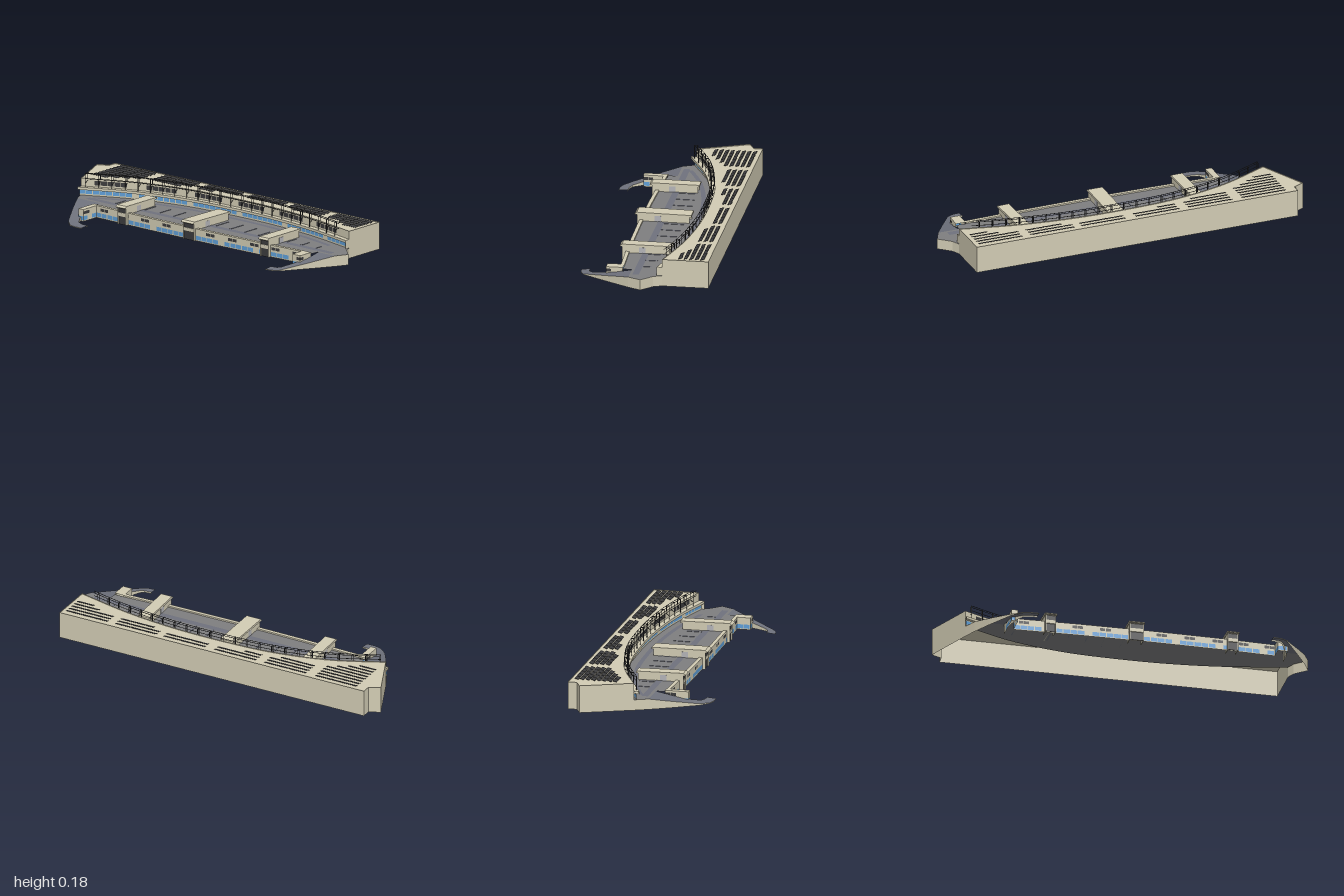
import * as THREE from 'three';
import { mergeGeometries } from 'three/addons/utils/BufferGeometryUtils.js';

const mat = (color) => new THREE.MeshStandardMaterial({ color, side: THREE.DoubleSide });
const DECK = 0.058, ROOF = 0.145, TOP = 0.15;

export function createModel() {
  const group = new THREE.Group();
  const beige = mat(0xd2ccb4), grey = mat(0x7f7f80), lane = mat(0x6f727d);
  const blue = mat(0x5f9fd8), dark = mat(0x3b3b3d), door = mat(0xb4b4b8);

  const add = (name, geo, material) => {
    const mesh = new THREE.Mesh(geo, material);
    mesh.name = name;
    group.add(mesh);
    return mesh;
  };
  // Flat-shaded quads, each given by four corners
  const quads = (list) => {
    const geo = new THREE.BufferGeometry();
    const pos = list.flatMap(([a, b, c, d]) => [a, b, c, a, c, d].flat());
    geo.setAttribute('position', new THREE.Float32BufferAttribute(pos, 3));
    geo.computeVertexNormals();
    return geo;
  };
  const upright = ([x0, z0], [x1, z1], y0, y1) => [[x0, y0, z0], [x1, y0, z1], [x1, y1, z1], [x0, y1, z0]];
  const pairs = (pts) => pts.slice(1).map((p, i) => [pts[i], p]);
  const wall = (name, pts, y0, y1, m = beige) => add(name, quads(pairs(pts).map(([a, b]) => upright(a, b, y0, y1))), m);
  const slab = (name, pts, y, m) => {
    const geo = new THREE.ShapeGeometry(new THREE.Shape(pts.map(([x, z]) => new THREE.Vector2(x, -z))));
    return add(name, geo.rotateX(-Math.PI / 2).translate(0, y, 0), m);
  };
  const ribbon = (name, a, b, y, m) => add(name, quads(pairs(a).map(([p, q], i) =>
    [[p[0], y, p[1]], [b[i][0], y, b[i][1]], [b[i + 1][0], y, b[i + 1][1]], [q[0], y, q[1]]])), m);
  // Wall band cut into panes; isGlass(i) picks glazed panes
  const windowBand = (name, pts, y0, y1, pane, isGlass, glass) => {
    const open = [], solid = [];
    let i = 0;
    for (const [a, b] of pairs(pts)) {
      const n = Math.max(1, Math.round(Math.hypot(b[0] - a[0], b[1] - a[1]) / pane));
      const at = (t) => [a[0] + (b[0] - a[0]) * t, a[1] + (b[1] - a[1]) * t];
      for (let k = 0; k < n; k++, i++) {
        const m = at((k + 0.9) / n);
        (isGlass(i) ? open : solid).push(upright(at(k / n), m, y0, y1));
        solid.push(upright(m, at((k + 1) / n), y0, y1));
      }
    }
    add(name + 'Glass', quads(open), glass);
    add(name + 'Piers', quads(solid), beige);
  };
  const box = (x0, x1, y0, y1, z0, z1) => new THREE.BoxGeometry(x1 - x0, y1 - y0, z1 - z0)
    .translate((x0 + x1) / 2, (y0 + y1) / 2, (z0 + z1) / 2);

  // Curved front of the tall rear block
  const arcCurve = new THREE.CatmullRomCurve3([[-0.88, -0.01], [-0.6, -0.135], [-0.3, -0.205], [0, -0.225],
    [0.3, -0.22], [0.6, -0.185], [0.915, -0.115]].map(([x, z]) => new THREE.Vector3(x, 0, z)));
  const arc = arcCurve.getSpacedPoints(50).map((p) => [p.x, p.z]);
  const shift = (dz) => arc.map(([x, z]) => [x, z + dz]);

  // Rear block: plain outer walls, roof, glazed curved front
  const outer = [arc[50], [0.915, -0.365], [-0.94, -0.36], [-0.94, -0.31], [-1, -0.28], arc[0]];
  wall('rearBlockWall', outer, 0, TOP);
  slab('rearBlockRoof', [...arc, ...outer.slice(1, -1)], ROOF, beige);
  wall('upperWallSill', arc, 0.105, 0.114);
  windowBand('upperWindow', arc, 0.114, 0.138, 0.037, (i) => i % 8 > 1 && i % 8 < 7, dark);
  wall('upperWallHead', arc, 0.138, TOP);
  const glassLine = shift(0.012);
  wall('deckLevelSill', glassLine, DECK, 0.066);
  windowBand('deckLevelWindow', glassLine, 0.066, 0.086, 0.037, (i) => i % 9 !== 8, blue);
  wall('deckLevelHead', glassLine, 0.086, 0.092);
  const eave = shift(0.03);
  ribbon('canopyTop', arc, eave, 0.105, beige);
  ribbon('canopySoffit', arc, eave, 0.091, beige);
  wall('canopyEdge', eave, 0.091, 0.105);
  wall('canopyEnd', [arc[50], eave[50]], DECK, 0.105);

  // Parking deck with lane and bay markings
  const frontEdge = [[-0.65, 0.112], [-0.3, 0.122], [0.1, 0.126], [0.5, 0.12], [0.785, 0.108]];
  slab('parkingDeck', [...arc, [0.935, -0.07], [1, -0.01], [0.965, 0.06], [0.845, 0.06], [0.84, 0.11],
    ...[...frontEdge].reverse(), [-0.685, 0.11], [-0.685, 0.06], [-0.846, 0.06]], DECK, grey);
  ribbon('frontLane', [[-0.8, 0.01], [0.92, 0.01]], [[-0.8, 0.045], [0.92, 0.045]], DECK + 0.001, lane);
  ribbon('curvedLane', shift(0.05).slice(3, 48), shift(0.075).slice(3, 48), DECK + 0.0015, lane);
  const bays = [];
  for (let x = -0.62; x < 0.8; x += 0.1) bays.push(box(x, x + 0.008, DECK, DECK + 0.002, -0.1 + 0.1 * x * x, 0.01));
  add('bayMarkings', mergeGeometries(bays), lane);

  // Lower shop front below the deck, with a short wing at each end
  const front = [[-0.685, 0.11], [-0.685, 0.24], [-0.65, 0.24], ...frontEdge.map(([x, z]) => [x, z + 0.02]),
    [0.785, 0.2], [0.84, 0.2], [0.84, 0.11]];
  wall('shopPlinth', front, 0, 0.006);
  windowBand('shopWindow', front, 0.006, 0.028, 0.04, (i) => i % 6 !== 5, blue);
  wall('shopBand', front, 0.028, 0.039);
  windowBand('shopUpperWindow', front, 0.039, 0.055, 0.03, (i) => i % 5 < 2, dark);
  wall('shopParapet', front, 0.055, 0.066);
  slab('shopParapetCap', [...front, ...[...frontEdge].reverse()], 0.066, beige);
  wall('shopParapetInside', frontEdge, DECK, 0.066);

  // Ramps: flat near the deck, then sloping to the ground
  const rampY = (z) => THREE.MathUtils.clamp(0.004 + (0.33 - z) * 0.2, 0.004, DECK);
  const lift = ([x, z]) => [x, rampY(z), z];
  const ramp = (name, out, inn) => {
    add(name, quads(pairs(out).map(([a, b], i) => [lift(a), lift(inn[i]), lift(inn[i + 1]), lift(b)])), lane);
    for (const side of [out, inn]) {
      add(name + 'SideWall', quads(pairs(side).map(([a, b]) =>
        [[a[0], 0, a[1]], [b[0], 0, b[1]], lift(b), lift(a)])), beige);
    }
  };
  ramp('rightRamp', [[-0.846, 0.06], [-0.79, 0.16], [-0.7, 0.305], [-0.65, 0.35], [-0.61, 0.36], [-0.56, 0.36]],
    [[-0.685, 0.06], [-0.685, 0.16], [-0.665, 0.25], [-0.635, 0.295], [-0.6, 0.308], [-0.56, 0.31]]);
  ramp('leftRamp', [[0.965, 0.06], [0.9, 0.17], [0.835, 0.275], [0.8, 0.33], [0.77, 0.347], [0.725, 0.352]],
    [[0.845, 0.06], [0.845, 0.15], [0.81, 0.23], [0.785, 0.285], [0.765, 0.302], [0.725, 0.305]]);
  wall('leftDeckWall', [arc[50], [0.935, -0.07], [1, -0.01], [0.965, 0.06]], 0, DECK);
  wall('rightDeckWall', [arc[0], [-0.846, 0.06]], 0, DECK);

  // Three covered walkways crossing the deck, each ending in a porch at the front
  for (const [x, w, back, nose, turn] of [[-0.455, 0.066, -0.1, 0.17, 0.03], [0.02, 0.086, -0.135, 0.172, 0], [0.545, 0.066, -0.115, 0.168, 0.03]]) {
    const walk = new THREE.Group();
    walk.name = 'coveredWalkway';
    const part = (name, geo, m) => {
      const mesh = new THREE.Mesh(geo, m);
      mesh.name = name;
      walk.add(mesh);
    };
    const h = w / 2 - 0.006, f = nose - 0.012;
    const profile = new THREE.Shape([[-back, 0.094], [-back, 0.104], [-nose + 0.012, 0.107], [-nose, 0.097], [-nose + 0.003, 0.094]]
      .map(([a, b]) => new THREE.Vector2(a, b)));
    part('walkwayRoof', new THREE.ExtrudeGeometry(profile, { depth: w, bevelEnabled: false })
      .rotateY(Math.PI / 2).translate(-w / 2, 0, 0), beige);
    for (const s of [-1, 1]) {
      part('walkwayWall', box(s * h - 0.002, s * h + 0.002, DECK, 0.095, back + 0.01, f), beige);
      part('walkwayDoor', box(s * h - 0.003, s * h + 0.003, DECK, 0.09, 0.03, 0.065), door);
      part('porchWall', box(s * h - 0.002, s * h + 0.002, 0, DECK, 0.1, f), beige);
    }
    part('porchBand', box(-h, h, 0.046, 0.066, f - 0.006, f), beige);
    part('porchGlass', box(-h, h, 0.066, 0.094, f - 0.006, f - 0.004), dark);
    part('porchDoor', box(-h, h, 0, 0.046, f - 0.008, f - 0.006), dark);
    walk.position.x = x;
    walk.rotation.y = turn;
    group.add(walk);
  }

  // Open steel frame standing on the canopy
  const steel = [];
  const bar = (a, b, r = 0.0022) => steel.push(new THREE.TubeGeometry(new THREE.LineCurve3(a, b), 1, r, 4));
  const V = (p, y, dz) => new THREE.Vector3(p[0], y, p[1] + dz);
  for (let i = 1; i < 49; i++) {
    for (const [y, dz] of [[0.18, 0.004], [0.18, 0.02], [0.152, 0.02]]) {
      if (i < 48) bar(V(arc[i], y, dz), V(arc[i + 1], y, dz), 0.0018);
    }
    if (i % 2) {
      bar(V(arc[i], 0.105, 0.02), V(arc[i], 0.18, 0.02));
      bar(V(arc[i], TOP, 0.004), V(arc[i], 0.18, 0.004));
      bar(V(arc[i], 0.18, 0.004), V(arc[i], 0.18, 0.02));
      bar(V(arc[i], 0.14, 0), V(arc[i], 0.125, 0.02), 0.0015);
    }
  }
  add('roofFrame', mergeGeometries(steel), dark);

  // Tilted solar panels: per group, start x and [first, last] column of each row
  const full = [0, 5];
  const arrays = [
    [-0.88, [full, full, full, full, full, [0, 4], [0, 3], [0, 2]]],
    [-0.57, [full, full, full, [0, 4]]],
    [-0.265, [full, full, [0, 2]]],
    [0.045, [full, full]],
    [0.34, [full, full, [1, 5]]],
    [0.64, [full, full, full, [2, 5], [3, 5]]],
  ];
  const panels = [];
  for (const [x0, rows] of arrays) {
    rows.forEach(([from, to], r) => {
      for (let c = from; c < to; c++) {
        panels.push(new THREE.BoxGeometry(0.047, 0.0015, 0.022).rotateX(0.3)
          .translate(x0 + 0.025 + c * 0.0505, ROOF + 0.006, -0.328 + r * 0.03));
      }
    });
  }
  add('solarPanels', mergeGeometries(panels), dark);
  return group;
}
